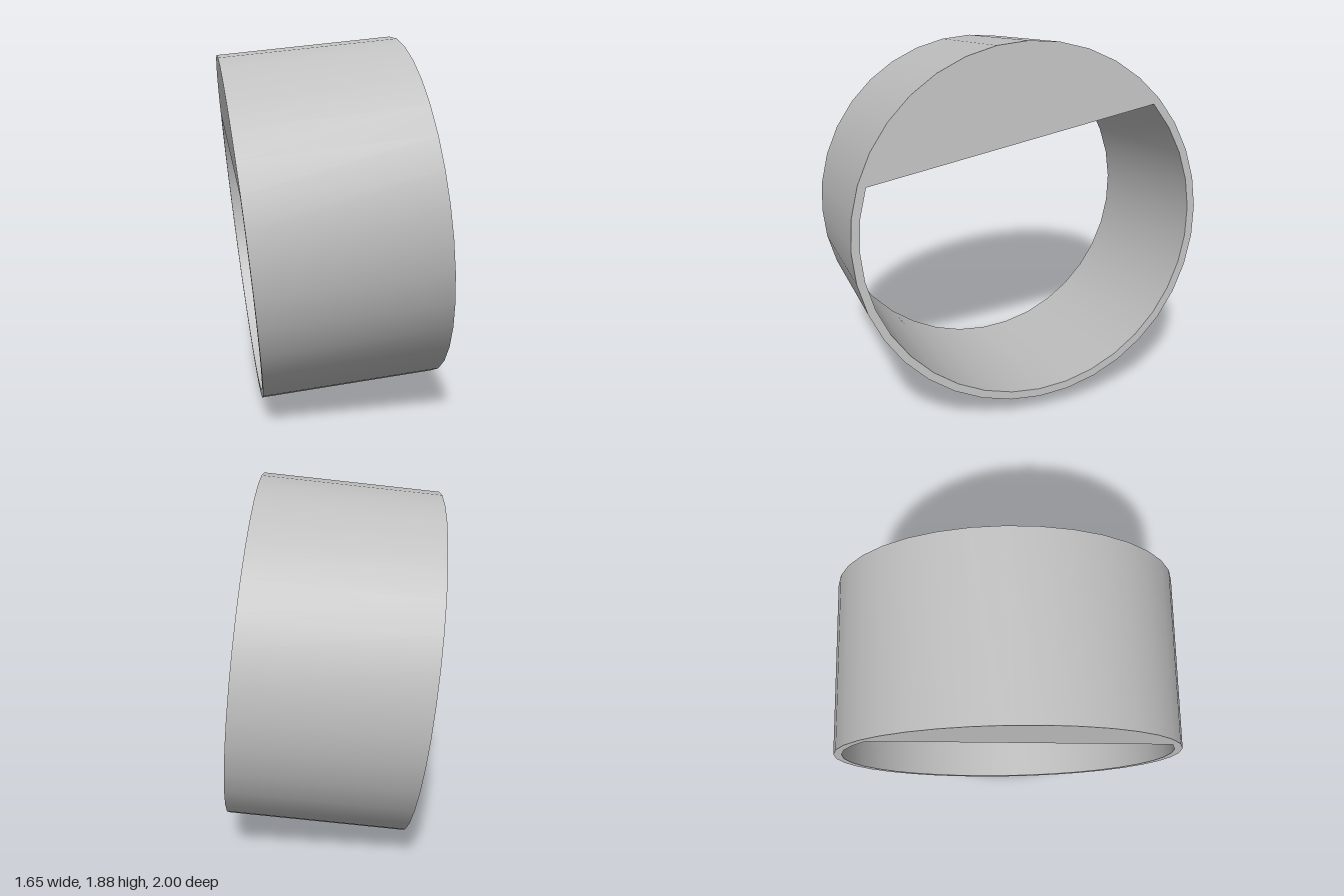
import * as THREE from 'three';
import { toCreasedNormals } from 'three/addons/utils/BufferGeometryUtils.js';

// points on an arc, angles in degrees, one every 10 degrees
function arcPoints(radius, from, to) {
  const points = [];
  for (let d = from; d <= to; d += 10) {
    const a = THREE.MathUtils.degToRad(d);
    points.push(new THREE.Vector2(radius * Math.cos(a), radius * Math.sin(a)));
  }
  return points;
}

export function createModel() {
  const group = new THREE.Group();
  group.name = 'collar';
  const grey = new THREE.MeshStandardMaterial({ color: 0xc0c0c0 });
  grey.name = 'light grey';

  const length = 0.9;
  // round outside, D-shaped bore with its flat on the upper side
  const section = new THREE.Shape(arcPoints(0.895, 0, 350));
  section.holes.push(new THREE.Path(arcPoints(0.855, 150, 390)));
  const extruded = new THREE.ExtrudeGeometry(section, { depth: length, bevelEnabled: false });
  extruded.translate(0, 0, -length / 2);

  const ring = new THREE.Mesh(toCreasedNormals(extruded, Math.PI / 7), grey);
  ring.name = 'dBoreRing';

  // tilt: local z is the bore axis, local y points from the axis to the flat
  const axis = new THREE.Vector3(0.878, 0.106, -0.467).normalize();
  const side = new THREE.Vector3(-0.0096, 0.98, 0.2045).cross(axis).normalize();
  const up = axis.clone().cross(side);
  ring.quaternion.setFromRotationMatrix(new THREE.Matrix4().makeBasis(side, up, axis));
  ring.position.y = 0.938;
  group.add(ring);
  return group;
}
